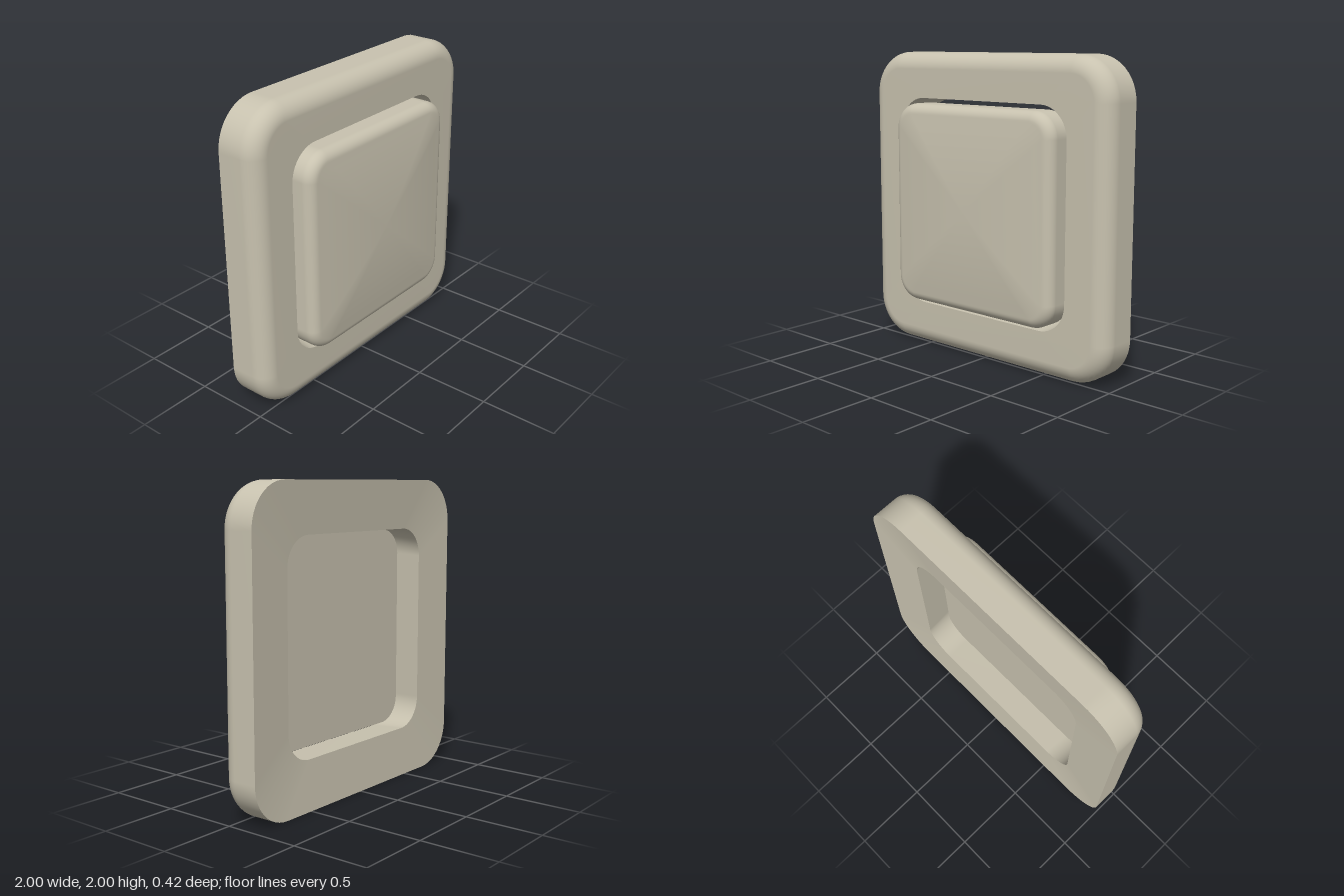
import * as THREE from 'three';

const CORNER_STEPS = 12;

// Rounded-square loop, counter-clockwise seen from the front
function loop([half, radius, z]) {
  const points = [];
  const c = half - radius;
  [[1, 1], [-1, 1], [-1, -1], [1, -1]].forEach(([sx, sy], k) => {
    for (let i = 0; i <= CORNER_STEPS; i++) {
      const a = (k + i / CORNER_STEPS) * Math.PI / 2;
      points.push(sx * c + radius * Math.cos(a), sy * c + radius * Math.sin(a), z);
    }
  });
  return points;
}

// Smooth skin through a list of [half, radius, z] sections
function skin(sections, material, name) {
  const n = 4 * (CORNER_STEPS + 1);
  const index = [];
  for (let s = 0; s < sections.length - 1; s++) {
    for (let i = 0; i < n; i++) {
      const a = s * n + i, b = s * n + (i + 1) % n;
      index.push(a, b, b + n, a, b + n, a + n);
    }
  }
  const geometry = new THREE.BufferGeometry();
  geometry.setAttribute('position', new THREE.Float32BufferAttribute(sections.flatMap(loop), 3));
  geometry.setIndex(index);
  geometry.computeVertexNormals();
  const mesh = new THREE.Mesh(geometry, material);
  mesh.name = name;
  return mesh;
}

// Quarter-round sections from a side wall onto the front face
function fillet(half, radius, zFront, r, steps = 10) {
  return Array.from({ length: steps + 1 }, (_, i) => {
    const a = i / steps * Math.PI / 2;
    const inset = r * (1 - Math.cos(a));
    return [half - inset, radius - inset, zFront - r + r * Math.sin(a)];
  });
}

export function createModel() {
  const model = new THREE.Group();
  model.name = 'wallSwitch';
  const plastic = new THREE.MeshStandardMaterial({ color: 0xc8c2af });
  plastic.name = 'warm beige plastic';

  // Frame: rounded outside, tapered opening, slightly dished back
  const outerBack = [1, 0.28, -0.21];
  const innerFront = [0.7, 0.2, 0.06];
  const innerBack = [0.68, 0.19, -0.185];
  const frame = new THREE.Group();
  frame.name = 'frame';
  frame.add(
    skin([outerBack, ...fillet(1, 0.28, 0.06, 0.11), innerFront], plastic, 'frameFront'),
    skin([innerFront, innerBack], plastic, 'frameOpening'),
    skin([innerBack, outerBack], plastic, 'frameBack'),
  );

  // Rocker: rounded rim with a gently crowned face
  const half = 0.667, radius = 0.165, back = -0.015, round = 0.07, edgeZ = 0.17;
  const crown = [];
  for (let i = 1; i <= 12; i++) {
    const s = Math.max(1 - i / 12, 0.0005);
    crown.push([(half - round) * s, (radius - round) * s, edgeZ + 0.038 * (1 - s * s)]);
  }
  const rocker = new THREE.Group();
  rocker.name = 'rocker';
  rocker.add(
    skin([[half, radius, back], ...fillet(half, radius, edgeZ, round), ...crown], plastic, 'rockerFace'),
    skin([[0.0005, 0.0001, back], [half, radius, back]], plastic, 'rockerBack'),
  );

  model.add(frame, rocker);
  // Stand the plate on the ground
  for (const part of model.children) part.position.y = 1;
  return model;
}
